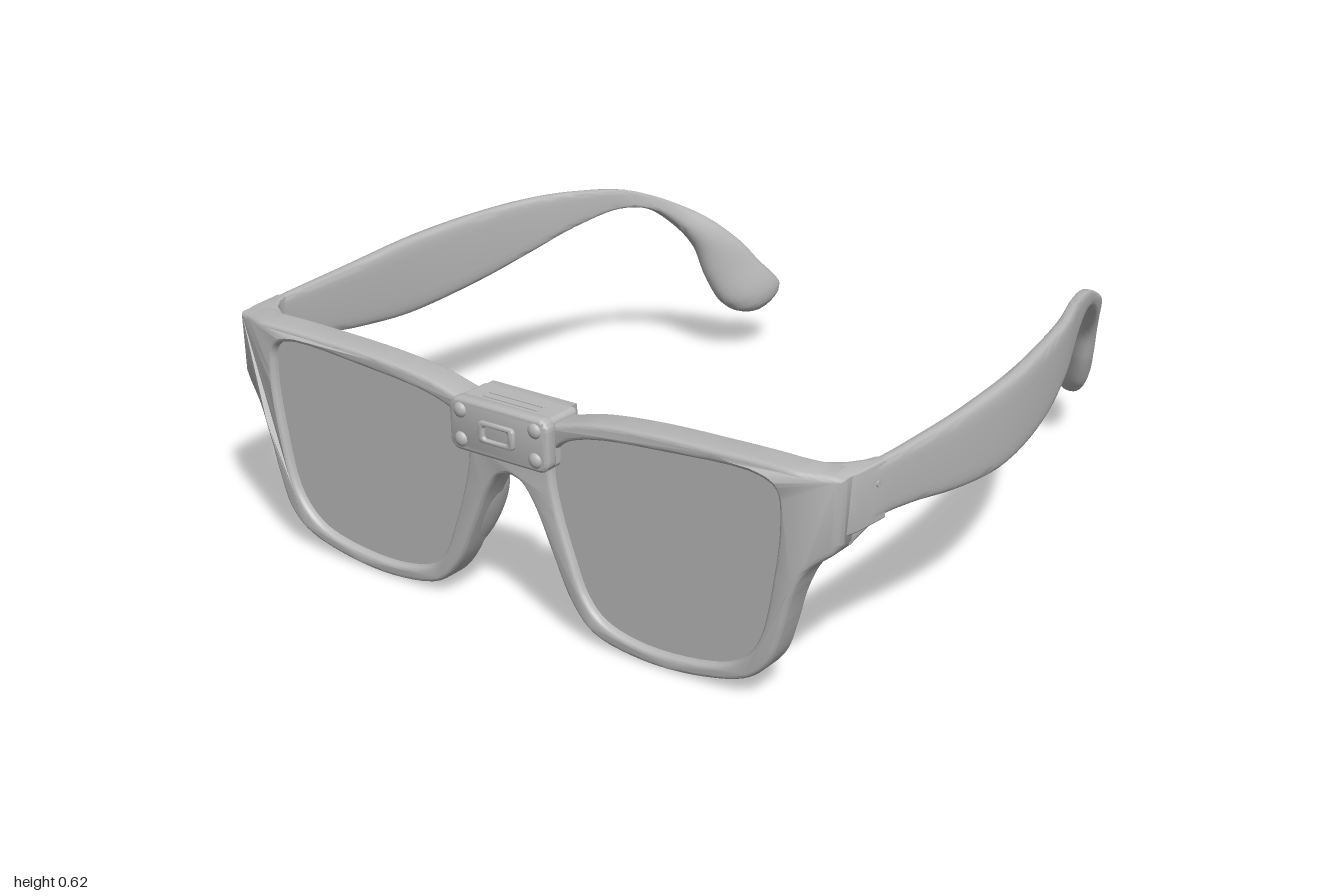
import * as THREE from 'three';
import { toCreasedNormals } from 'three/addons/utils/BufferGeometryUtils.js';
import { RoundedBoxGeometry } from 'three/addons/geometries/RoundedBoxGeometry.js';

const grey = new THREE.MeshStandardMaterial({ color: 0xb8b8b8 });
grey.name = 'plain grey';

const { lerp, clamp, smoothstep } = THREE.MathUtils;
const v2 = (pts) => pts.map(([x, y]) => new THREE.Vector2(x, y));
const spline = (pts, n, closed = false) => {
  const c = new THREE.CatmullRomCurve3(pts.map(([x, y]) => new THREE.Vector3(x, y, 0)), closed, 'centripetal');
  return c.getPoints(n).slice(0, closed ? n : n + 1).map((p) => new THREE.Vector2(p.x, p.y));
};
const mirror = (pts) => pts.map((p) => new THREE.Vector2(-p.x, p.y)).reverse();

function add(parent, name, geo) {
  const m = new THREE.Mesh(geo, grey);
  m.name = name;
  parent.add(m);
  return m;
}

// Bevelled slab that keeps its outline and spans z0..z1
function slab(shape, z0, z1, bevel, depthBevel = bevel) {
  const g = new THREE.ExtrudeGeometry(shape, {
    depth: z1 - z0 - 2 * depthBevel, bevelEnabled: bevel > 0, bevelThickness: depthBevel,
    bevelSize: bevel, bevelOffset: -bevel, bevelSegments: 4, curveSegments: 8,
  });
  return g.translate(0, 0, z0 + depthBevel);
}
const crisp = (g) => toCreasedNormals(g, 0.6);

function roundedRect(w, h, r) {
  const s = new THREE.Shape(), x = w / 2, y = h / 2;
  s.absarc(x - r, y - r, r, 0, Math.PI / 2);
  s.absarc(r - x, y - r, r, Math.PI / 2, Math.PI);
  s.absarc(r - x, r - y, r, Math.PI, Math.PI * 1.5);
  s.absarc(x - r, r - y, r, Math.PI * 1.5, Math.PI * 2);
  return s;
}

// Half outline of the front, from the bridge underside round to the top centre
const lowerEdge = [[0, 0.39], [0.035, 0.378], [0.075, 0.325], [0.125, 0.215], [0.18, 0.1], [0.245, 0.033],
  [0.4, 0.003], [0.58, 0.017], [0.7, 0.054], [0.757, 0.11], [0.79, 0.2], [0.815, 0.29], [0.85, 0.365],
  [0.905, 0.412], [0.925, 0.44]];
const upperEdge = [[0.93, 0.6], [0.8, 0.61], [0.6, 0.608], [0.4, 0.6], [0.25, 0.583], [0.13, 0.555], [0, 0.54]];
const lensEdge = [[0.128, 0.42], [0.145, 0.33], [0.188, 0.2], [0.22, 0.125], [0.268, 0.073], [0.38, 0.042],
  [0.56, 0.051], [0.66, 0.084], [0.724, 0.155], [0.766, 0.325], [0.783, 0.48], [0.772, 0.55], [0.72, 0.574],
  [0.46, 0.564], [0.25, 0.541], [0.168, 0.512], [0.133, 0.475]];

function buildFront(group) {
  const right = [...spline(lowerEdge, 70), ...spline(upperEdge, 40)];
  const shape = new THREE.Shape([...right, ...mirror(right).slice(1, -1)]);
  const lens = spline(lensEdge, 80, true);
  shape.holes.push(new THREE.Path(lens), new THREE.Path(mirror(lens)));
  const frame = slab(shape, 0.863, 0.953, 0.011, 0.016);
  // Sweep the outer corners back
  const p = frame.attributes.position;
  for (let i = 0; i < p.count; i++) p.setZ(i, p.getZ(i) - 0.042 * smoothstep(Math.abs(p.getX(i)), 0.8, 0.94));
  add(group, 'frontFrame', crisp(frame));

  for (const [side, pts] of [['left', lens], ['right', mirror(lens)]]) {
    // Grow the lens slightly so that it seats in the rim
    const c = new THREE.Vector2(side === 'left' ? 0.46 : -0.46, 0.31);
    const grown = pts.map((q) => q.clone().sub(c).multiplyScalar(1.02).add(c));
    add(group, side + 'Lens', crisp(slab(new THREE.Shape(grown), 0.892, 0.93, 0)));
  }
}

// Corner block that turns the front into the temple
function buildCorner(group, s, name) {
  const plan = [[0.815, 0.93], [0.9, 0.905], [0.925, 0.895], [0.935, 0.86], [0.944, 0.76], [0.917, 0.757],
    [0.904, 0.79], [0.88, 0.822], [0.85, 0.843], [0.815, 0.866]].map(([x, z]) => [s * x, -z]);
  const g = slab(new THREE.Shape(v2(plan)), 0.455, 0.603, 0.006);
  add(group, name, crisp(g.rotateX(-Math.PI / 2)));
}

// Temple stations: top z, top y, bottom z, bottom y, thickness factor
const stations = [
  [0.87, 0.6, 0.87, 0.425, 0.9], [0.82, 0.6, 0.82, 0.448, 1], [0.77, 0.601, 0.77, 0.463, 1],
  [0.66, 0.602, 0.66, 0.455, 1], [0.46, 0.606, 0.46, 0.42, 1],
  [0.25, 0.616, 0.245, 0.4, 1], [-0.02, 0.625, -0.02, 0.425, 1], [-0.22, 0.625, -0.2, 0.466, 1],
  [-0.36, 0.617, -0.35, 0.511, 1], [-0.54, 0.585, -0.5, 0.536, 1], [-0.7, 0.515, -0.61, 0.512, 1],
  [-0.79, 0.455, -0.69, 0.45, 1], [-0.87, 0.375, -0.745, 0.37, 1], [-0.93, 0.295, -0.772, 0.27, 1],
  [-0.99, 0.23, -0.797, 0.2, 1], [-0.998, 0.2, -0.825, 0.162, 0.9], [-0.972, 0.167, -0.86, 0.14, 0.65],
  [-0.935, 0.143, -0.905, 0.134, 0.3],
];
// Plan of the temple: z, middle x, half thickness
const plan = new THREE.CatmullRomCurve3([
  [0.87, 0.913, 0.018], [0.76, 0.93, 0.017], [0.6, 0.94, 0.02], [0.4, 0.947, 0.023], [0.2, 0.944, 0.024],
  [0, 0.921, 0.023], [-0.2, 0.88, 0.02], [-0.4, 0.815, 0.017], [-0.6, 0.752, 0.018], [-0.7, 0.715, 0.025],
  [-0.8, 0.645, 0.042], [-0.9, 0.57, 0.055], [-1, 0.525, 0.045],
].map((p) => new THREE.Vector3(...p))).getPoints(150);

function planAt(z) {
  let i = 1;
  while (i < plan.length - 1 && plan[i].x > z) i++;
  const a = plan[i - 1], b = plan[i];
  const t = clamp((z - a.x) / (b.x - a.x), 0, 1);
  return [lerp(a.y, b.y, t), lerp(a.z, b.z, t)];
}

function templeGeometry(s) {
  const curve = (f) => new THREE.CatmullRomCurve3(stations.map(f), false, 'centripetal');
  const top = curve((p) => new THREE.Vector3(p[4], p[1], p[0]));
  const low = curve((p) => new THREE.Vector3(p[4], p[3], p[2]));
  const N = 100, R = 24, pos = [], idx = [];
  for (let i = 0; i <= N; i++) {
    const a = top.getPoint(i / N), b = low.getPoint(i / N);
    // Flat sides along the arm, rounder towards the ear tip
    const power = lerp(0.45, 0.85, smoothstep(i / N, 0.5, 0.75));
    const soft = (v) => Math.sign(v) * Math.abs(v) ** power;
    for (let j = 0; j < R; j++) {
      const ang = (j / R) * Math.PI * 2;
      const p = a.clone().lerp(b, 0.5 - 0.5 * soft(Math.sin(ang)));
      const [mid, half] = planAt(lerp(p.z, (a.z + b.z) / 2, 0.4));
      pos.push(s * (mid + half * p.x * soft(Math.cos(ang))), p.y, p.z);
    }
  }
  const tri = (a, b, c) => (s > 0 ? idx.push(a, b, c) : idx.push(a, c, b));
  for (let i = 0; i < N; i++) for (let j = 0; j < R; j++) {
    const k = (j + 1) % R, o = i * R;
    tri(o + j, o + R + j, o + R + k);
    tri(o + j, o + R + k, o + k);
  }
  // Close both ends
  for (let j = 1; j < R - 1; j++) {
    tri(0, j, j + 1);
    tri(N * R, N * R + j + 1, N * R + j);
  }
  const g = new THREE.BufferGeometry();
  g.setAttribute('position', new THREE.Float32BufferAttribute(pos, 3));
  g.setIndex(idx);
  return toCreasedNormals(g, 0.8);
}

function buildModule(group) {
  const unit = new THREE.Group();
  unit.name = 'bridgeModule';
  group.add(unit);
  add(unit, 'moduleBody', new RoundedBoxGeometry(0.29, 0.13, 0.12, 3, 0.015)).position.set(0, 0.507, 0.915);
  add(unit, 'moduleFace', crisp(slab(roundedRect(0.304, 0.138, 0.03), 0.95, 0.988, 0.01))).position.y = 0.508;

  // Tapered back plate
  const back = new THREE.Shape(v2([[-0.13, 0.572], [-0.13, 0.495], [-0.05, 0.425], [0.05, 0.425], [0.13, 0.495], [0.13, 0.572]]));
  add(unit, 'moduleBack', crisp(slab(back, 0.836, 0.9, 0.012)));

  // Raised window surround
  const ring = roundedRect(0.11, 0.056, 0.012);
  ring.holes.push(new THREE.Path(roundedRect(0.076, 0.034, 0.008).getPoints(8)));
  add(unit, 'moduleWindow', crisp(slab(ring, 0.975, 0.998, 0.004))).position.y = 0.508;

  for (const x of [-0.115, 0.115]) for (const y of [0.47, 0.546]) {
    const screw = add(unit, 'screw', new THREE.SphereGeometry(0.02, 16, 10));
    screw.position.set(x, y, 0.986);
    screw.scale.z = 0.65;
  }
  for (const z of [0.91, 0.935]) {
    add(unit, 'topRidge', new RoundedBoxGeometry(0.17, 0.008, 0.008, 2, 0.003)).position.set(0, 0.572, z);
  }
}

export function createModel() {
  const group = new THREE.Group();
  group.name = 'glasses';
  buildFront(group);
  buildModule(group);
  for (const [s, side] of [[1, 'left'], [-1, 'right']]) {
    buildCorner(group, s, side + 'Corner');
    add(group, side + 'Temple', templeGeometry(s));
    // Nose pad, leaning along the inner rim
    const pad = add(group, side + 'NosePad', new THREE.SphereGeometry(1, 24, 16));
    pad.scale.set(0.023, 0.125, 0.06);
    pad.position.set(s * 0.134, 0.24, 0.878);
    pad.rotation.z = s * 0.4;
    // Hinge pin
    const pin = add(group, side + 'HingePin', new THREE.CylinderGeometry(0.008, 0.008, 0.008, 12));
    pin.rotation.z = Math.PI / 2;
    pin.position.set(s * 0.942, 0.552, 0.79);
  }
  return group;
}
